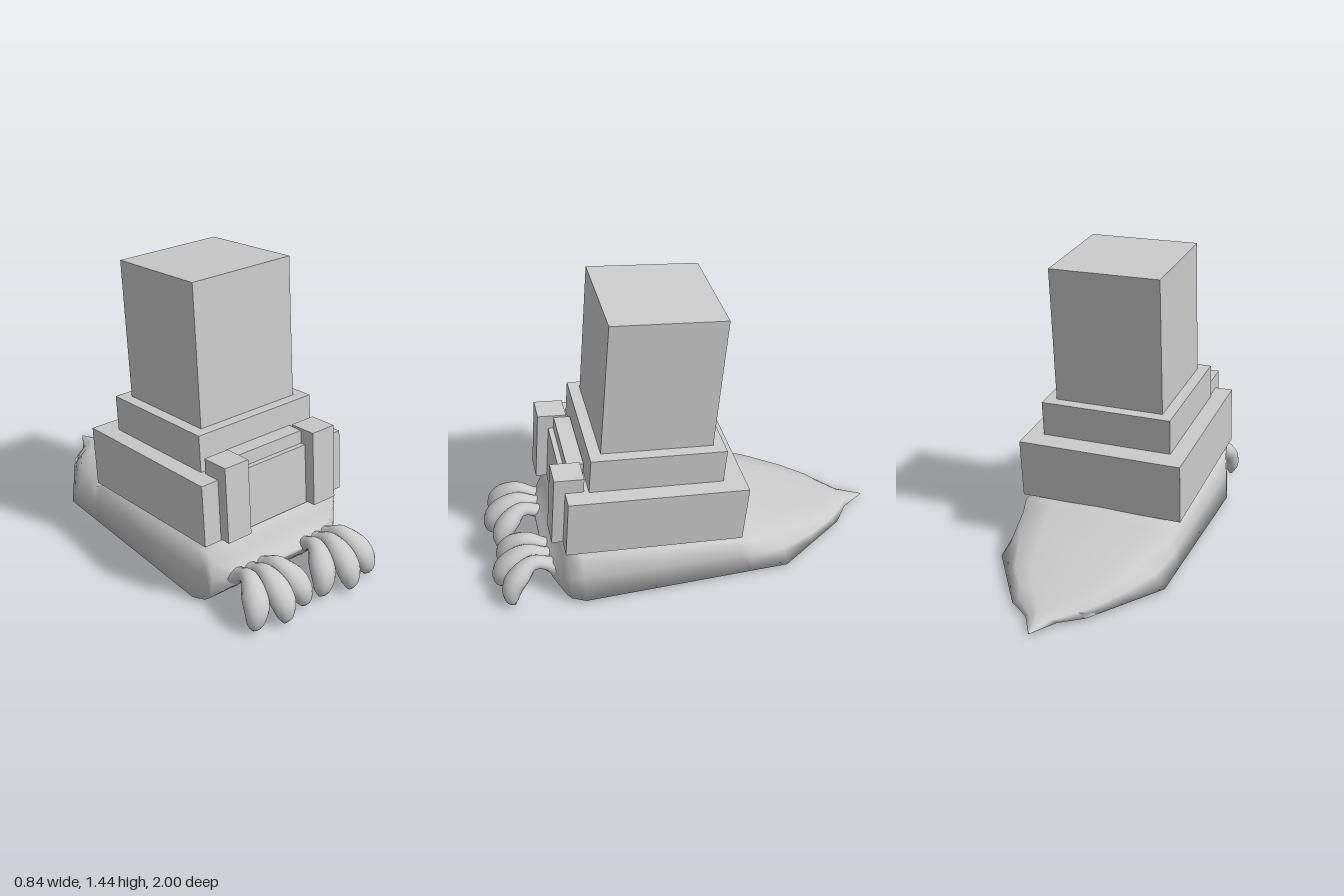
import * as THREE from 'three';

const material = new THREE.MeshStandardMaterial({ color: 0xcccccc });
const TILT = -0.098;

// Closed smooth skin through rings of points; rings run front to back,
// each ring counter-clockwise when seen from the front.
function loft(rings) {
  const centre = (ring) => {
    const c = new THREE.Vector3();
    ring.forEach((p) => c.add(p));
    c.divideScalar(ring.length);
    return c;
  };
  const n = rings[0].length;
  const points = rings.flat();
  const index = [];
  for (let i = 0; i < rings.length - 1; i++) {
    for (let j = 0; j < n; j++) {
      const a = i * n + j, b = i * n + (j + 1) % n;
      index.push(a, a + n, b, b, a + n, b + n);
    }
  }
  const first = points.length, last = first + 1, start = (rings.length - 1) * n;
  points.push(centre(rings[0]), centre(rings[rings.length - 1]));
  for (let j = 0; j < n; j++) {
    const k = (j + 1) % n;
    index.push(first, j, k, last, start + k, start + j);
  }
  const geometry = new THREE.BufferGeometry().setFromPoints(points);
  geometry.setIndex(index);
  geometry.computeVertexNormals();
  return geometry;
}

// Foot section: flat sole of half width w, flared wall, broad hump of half width h
function footRing([z, bottom, top, w, h]) {
  const y = (f) => bottom + (top - bottom) * f;
  const half = [
    [w * 0.5, bottom], [w, bottom], [w * 0.55 + h * 0.45, y(0.45)],
    [h, y(0.85)], [h * 0.65, y(0.97)],
  ];
  return [
    new THREE.Vector3(0, bottom, z),
    ...half.map(([x, py]) => new THREE.Vector3(x, py, z)),
    new THREE.Vector3(0, top, z),
    ...half.slice().reverse().map(([x, py]) => new THREE.Vector3(-x, py, z)),
  ];
}

// Curled toe; s is -1, 0 or 1 for its place in the paw
function toeGeometry(side, s) {
  // spread, y, z, radius from tip to base
  const path = [
    [0.145, 0.008, 0.96, 0.005], [0.14, 0.05, 0.963, 0.034], [0.125, 0.11, 0.945, 0.05],
    [0.11, 0.165, 0.89, 0.05], [0.085, 0.2, 0.82, 0.035], [0.07, 0.17, 0.745, 0.032],
    [0.07, 0.13, 0.68, 0.05],
  ];
  const line = new THREE.CatmullRomCurve3(path.map(([spread, y, z], i) =>
    new THREE.Vector3(side * 0.2 + s * spread, y, z - Math.abs(s) * 0.045 * (1 - i / 6))));
  const radius = new THREE.CatmullRomCurve3(path.map((p, i) => new THREE.Vector3(p[3], i * 0.05, 0)));
  const rings = [];
  for (let i = 0; i <= 24; i++) {
    const t = i / 24;
    const p = line.getPoint(t), d = line.getTangent(t).negate(), r = radius.getPoint(t).x;
    const up = new THREE.Vector3(0, d.z, -d.y).normalize();
    const ring = [];
    for (let j = 0; j < 12; j++) {
      const a = j / 12 * Math.PI * 2;
      ring.push(p.clone().addScaledVector(up, Math.sin(a) * r)
        .add(new THREE.Vector3(Math.cos(a) * r * 1.2, 0, 0)));
    }
    rings.push(ring);
  }
  return loft(rings);
}

export function createModel() {
  const model = new THREE.Group();
  const add = (name, geometry) => {
    const mesh = new THREE.Mesh(geometry, material);
    mesh.name = name;
    model.add(mesh);
    return mesh;
  };
  const block = (name, w, h, d, x, y, z) => {
    const mesh = add(name, new THREE.BoxGeometry(w, h, d));
    mesh.position.set(x, y, z);
    mesh.rotation.x = TILT;
  };

  // Foot: z, bottom, top, sole half width, hump half width
  add('foot', loft([
    [0.745, 0.15, 0.165, 0.22, 0.2],
    [0.72, 0.11, 0.19, 0.31, 0.28],
    [0.665, 0.05, 0.25, 0.385, 0.36],
    [0.645, 0.035, 0.33, 0.4, 0.39],
    [0.58, 0.02, 0.335, 0.42, 0.4],
    [0.2, 0.02, 0.295, 0.42, 0.4],
    [-0.2, 0.02, 0.25, 0.42, 0.4],
    [-0.26, 0.02, 0.212, 0.42, 0.385],
    [-0.44, 0.02, 0.172, 0.42, 0.32],
    [-0.62, 0.02, 0.115, 0.3, 0.25],
    [-0.74, 0.02, 0.085, 0.22, 0.17],
    [-0.8, 0.02, 0.07, 0.18, 0.1],
    [-0.88, 0.02, 0.048, 0.075, 0.03],
    [-1, 0.02, 0.022, 0.003, 0.002],
  ].map(footRing)));

  // Two paws of three toes
  for (const side of [-1, 1]) {
    for (const s of [-1, 0, 1]) add('toe', toeGeometry(side, s));
  }

  // Stepped leg, leaning back
  block('ankleBlock', 0.82, 0.297, 0.862, 0, 0.435, 0.214);
  block('ankleStep', 0.655, 0.18, 0.645, 0, 0.667, 0.19);
  block('leg', 0.545, 0.67, 0.535, 0, 1.088, 0.149);

  // Front posts and the bar between them
  for (const side of [-1, 1]) {
    block('frontPost', 0.13, 0.365, 0.14, side * 0.256, 0.515, 0.623);
  }
  block('frontBar', 0.385, 0.1, 0.08, 0, 0.632, 0.562);

  return model;
}
